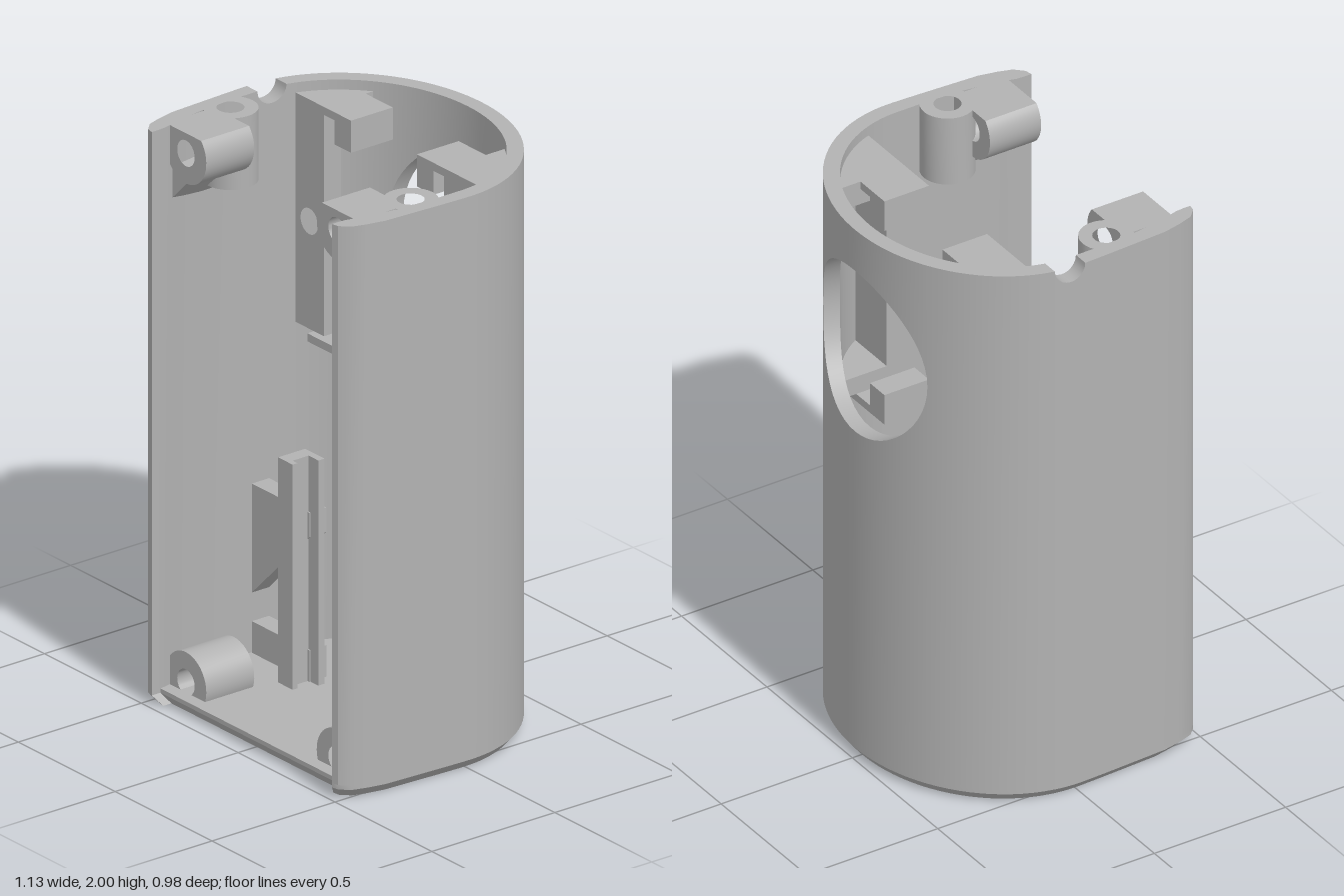
import * as THREE from 'three';
import { toCreasedNormals } from 'three/addons/utils/BufferGeometryUtils.js';

const HOLE = { y: 1.54, r: 0.305 };
const NOTCH = { z: -0.035, r: 0.055 };
const FLOOR = 0.05, TOP = 2;
const OUT = { a: 0.565, b: 0.49 }, INN = { a: 0.51, b: 0.435 };

const atX = (e, x) => [x, -e.b * Math.sqrt(1 - (x / e.a) ** 2)];
const atZ = (e, z) => [z < 0 ? e.a * Math.sqrt(1 - (z / e.b) ** 2) : e.a, z];
const bow = (r, d) => Math.sqrt(Math.max(0, r * r - d * d));

// Wall columns of the +x half, from the front lip to the middle of the back
function halfColumns() {
  const cols = [
    [[0.465, 0.485], [0.465, 0.485]], [[0.49, 0.48], [0.465, 0.46]],
    [[0.52, 0.45], [0.467, 0.43]], [[0.536, 0.4], [0.479, 0.385]],
    [[0.55, 0.335], [0.49, 0.335]], [[0.556, 0.22], [0.503, 0.24]],
    [[0.562, 0.1], [0.51, 0.1]],
  ].map(([o, i]) => ({ o, i }));
  for (let k = 0; k <= 12; k++) {
    const z = NOTCH.z + NOTCH.r * Math.cos((k / 12) * Math.PI);
    cols.push({ o: atZ(OUT, z), i: atZ(INN, z), notch: bow(NOTCH.r, z - NOTCH.z) });
  }
  const zEnd = NOTCH.z - NOTCH.r;
  const sweep = (e, t) => {
    const from = Math.asin(-zEnd / e.b), to = Math.acos(HOLE.r / e.a);
    const th = from + (to - from) * t;
    return [e.a * Math.cos(th), -e.b * Math.sin(th)];
  };
  for (let k = 1; k < 12; k++) cols.push({ o: sweep(OUT, k / 12), i: sweep(INN, k / 12) });
  for (let k = 0; k <= 14; k++) {
    const x = HOLE.r * Math.cos((k / 14) * Math.PI / 2);
    cols.push({ o: atX(OUT, x), i: atX(INN, x), gap: bow(HOLE.r, x) });
  }
  return cols;
}

function wallColumns() {
  const half = halfColumns();
  const flip = ([x, z]) => [-x, z];
  const other = half.slice(0, -1).reverse().map(c => ({ ...c, o: flip(c.o), i: flip(c.i) }));
  return [...half.map(c => ({ ...c, notch: 0 })), ...other];
}

// Curved wall with the round rear window and the half-round cable notch
function wallGeometry(cols) {
  const pos = [];
  const quad = (a, b, c, d) => pos.push(...a, ...b, ...c, ...a, ...c, ...d);
  const p = ([x, z], y) => [x, y, z];
  const piece = (A, B, lo, hi) => {
    const [al, bl, ah, bh] = [lo(A), lo(B), hi(A), hi(B)];
    quad(p(A.o, al), p(B.o, bl), p(B.o, bh), p(A.o, ah));
    quad(p(B.i, bl), p(A.i, al), p(A.i, ah), p(B.i, bh));
    quad(p(A.o, ah), p(B.o, bh), p(B.i, bh), p(A.i, ah));
    quad(p(A.i, al), p(B.i, bl), p(B.o, bl), p(A.o, al));
  };
  const floor = () => FLOOR, rim = c => TOP - (c.notch || 0);
  for (let k = 0; k + 1 < cols.length; k++) {
    const A = cols[k], B = cols[k + 1];
    if (A.gap !== undefined && B.gap !== undefined) {
      piece(A, B, floor, c => HOLE.y - c.gap);
      piece(A, B, c => HOLE.y + c.gap, rim);
    } else piece(A, B, floor, rim);
  }
  const g = new THREE.BufferGeometry();
  g.setAttribute('position', new THREE.Float32BufferAttribute(pos, 3));
  return toCreasedNormals(g, 0.5);
}

function shapeOf(points, hole) {
  const s = new THREE.Shape(points.map(([x, y]) => new THREE.Vector2(x, y)));
  if (hole) s.holes.push(new THREE.Path().absarc(hole[0], hole[1], hole[2], 0, Math.PI * 2, true));
  return s;
}
// Outline in x,y pushed from z0 to z1
function slab(points, z0, z1, hole) {
  const g = new THREE.ExtrudeGeometry(shapeOf(points, hole), { depth: z1 - z0, bevelEnabled: false, curveSegments: 16 });
  return toCreasedNormals(g.translate(0, 0, z0), 0.6);
}
// Outline in x,z raised from y0 to y1
function prism(points, y0, y1, hole) {
  const flat = points.map(([x, z]) => [x, -z]);
  return slab(flat, y0, y1, hole && [hole[0], -hole[1], hole[2]]).rotateX(-Math.PI / 2);
}
const rect = (x0, x1, y0, y1) => [[x0, y0], [x1, y0], [x1, y1], [x0, y1]];
const circle = (cx, cy, r, n = 32) => Array.from({ length: n }, (_, k) => {
  const t = (k / n) * Math.PI * 2;
  return [cx + r * Math.cos(t), cy + r * Math.sin(t)];
});

export function createModel() {
  const group = new THREE.Group();
  const grey = new THREE.MeshStandardMaterial({ color: 0xb2b2b2 });
  grey.name = 'grey plastic';
  const add = (name, geometry) => {
    const m = new THREE.Mesh(geometry, grey);
    m.name = name;
    group.add(m);
  };

  // Housing wall and floor with chamfered underside
  const cols = wallColumns();
  add('housingWall', wallGeometry(cols));
  const outline = [[0.465, 0.45], ...cols.map(c => c.o), [-0.465, 0.45]];
  add('floor', prism(outline, 0.035, FLOOR));
  const chamfer = prism(outline, 0, 0.035);
  const v = chamfer.attributes.position;
  for (let k = 0; k < v.count; k++)
    if (v.getY(k) < 0.01) v.setXYZ(k, v.getX(k) * 0.945, 0, v.getZ(k) * 0.945);
  add('floorChamfer', toCreasedNormals(chamfer, 0.5));

  for (const s of [1, -1]) {
    const side = s > 0 ? 'left' : 'right';
    const mx = pts => pts.map(([x, y]) => [s * x, y]);

    // Horizontal screw bosses, cut flat at the rim or floor and joined to the wall
    const boss = (cy, dir, clip) => {
      const r = 0.105, from = Math.PI - Math.asin(clip / r), pts = [];
      for (let k = 0; k <= 24; k++) {
        const t = from + (k / 24) * (Math.PI * 1.8 - from);
        pts.push([0.39 + r * Math.cos(t), cy + dir * r * Math.sin(t)]);
      }
      pts.push([0.495, cy - dir * 0.055], [0.495, cy + dir * clip]);
      return slab(mx(pts), 0.21, 0.405, [s * 0.39, cy, 0.045]);
    };
    add(side + 'UpperScrewBoss', boss(1.93, 1, 0.07));
    add(side + 'LowerScrewBoss', boss(0.085, -1, 0.04));
    add(side + 'BossGusset', slab(mx([[0.5, 1.72], [0.39, 1.83], [0.5, 1.85]]), 0.21, 0.39));

    // Vertical screw boss at the rim, with a blind hole
    add(side + 'RimBoss', prism(circle(s * 0.465, 0.165, 0.09), 1.75, TOP, [s * 0.465, 0.165, 0.045]));
    add(side + 'RimBossBase', prism(circle(s * 0.465, 0.165, 0.05), 1.76, 1.85));

    // Slotted board rail, its wing brace and foot
    add(side + 'BoardRail', prism(mx([[0.17, 0.015], [0.27, 0.015], [0.27, 0.125], [0.195, 0.125],
      [0.195, 0.105], [0.22, 0.105], [0.22, 0.04], [0.17, 0.04]]), FLOOR, 0.835));
    add(side + 'RailWing', slab(mx([[0.21, 0.64], [0.507, 0.64], [0.507, 0.26], [0.21, 0.555]]), -0.025, 0.045));
    add(side + 'RailFoot', slab(mx(rect(0.21, 0.507, FLOOR, 0.16)), -0.025, 0.045));

    // Upright mounting plate beside the window, tied to the wall at both ends
    const inner = s > 0 ? 0.275 : 0.345, screw = s > 0 ? 0.35 : 0.42;
    add(side + 'MountPlate', slab(mx(rect(inner, 0.51, 1.165, 1.965)), -0.19, -0.12, [s * screw, HOLE.y, 0.045]));
    const tie = [[inner, -0.15], [0.49, -0.15]];
    for (let k = 0; k <= 6; k++) tie.push(atX({ a: 0.52, b: 0.445 }, 0.485 + (inner - 0.485) * k / 6));
    add(side + 'LowerPlateTie', prism(mx(tie), 1.165, 1.23));
    add(side + 'UpperPlateTie', prism(mx(tie), 1.88, 1.965));

    // Stepped clips above and below the window
    const x0 = s > 0 ? 0.135 : 0.205;
    const clip = (edge, dir) => slab(mx([[x0, edge], [x0 + 0.225, edge], [x0 + 0.225, edge + dir * 0.028],
      [x0 + 0.085, edge + dir * 0.028], [x0 + 0.085, edge + dir * 0.112], [x0, edge + dir * 0.112]]), -0.29, -0.12);
    add(side + 'LowerClip', clip(1.118, 1));
    add(side + 'UpperClip', clip(1.965, -1));
  }
  return group;
}
